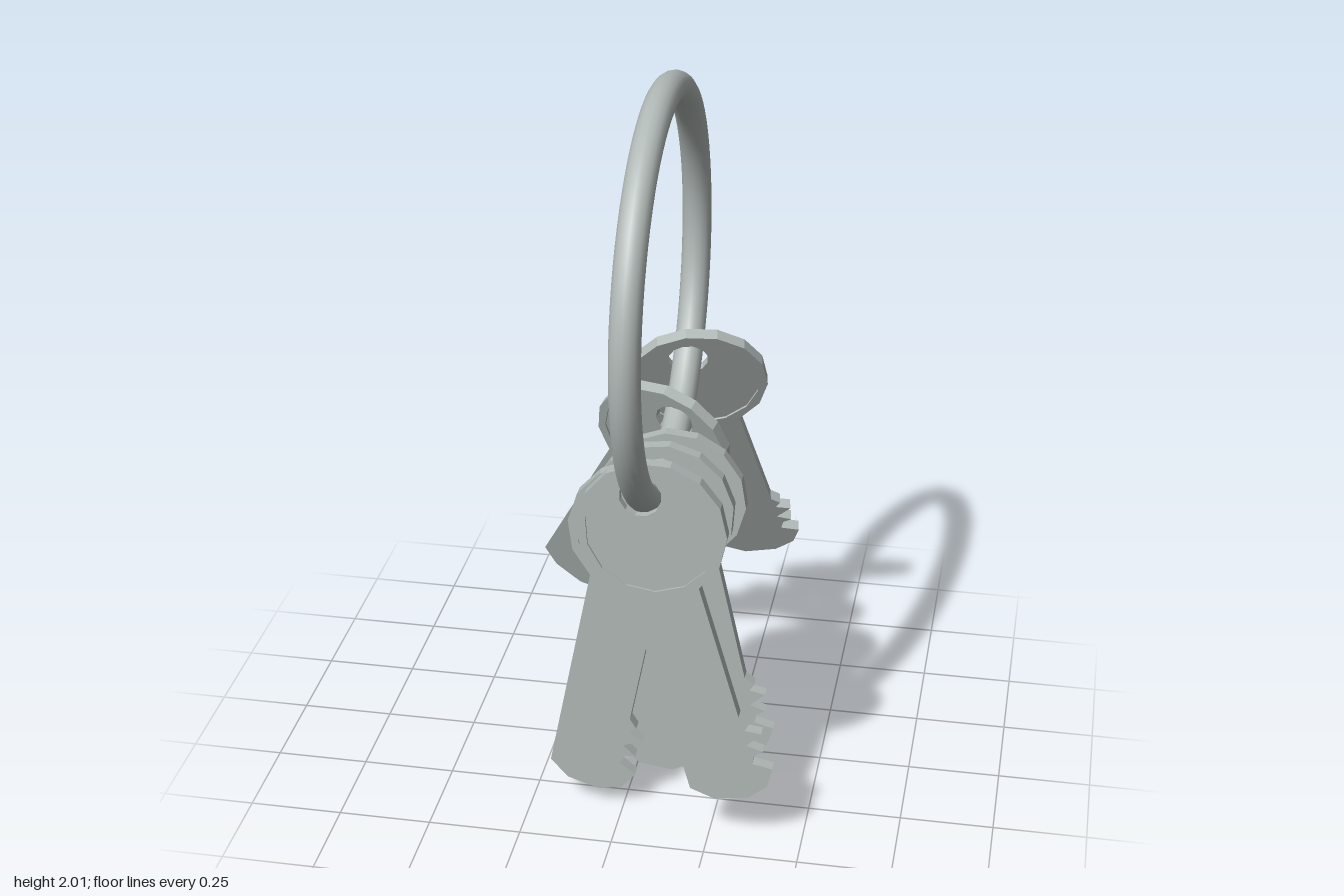
import * as THREE from 'three';

const steel = new THREE.MeshStandardMaterial({ color: 0xb0b8b6 });
steel.name = 'steelGrey';

const HEAD_R = 0.195, RECESS_R = 0.172, HOLE_R = 0.055;
const HOLE_OFFSET = 0.1; // hole centre above the head centre
const THICK = 0.034, PLATE_THICK = 0.022;

// points on an arc, angles in degrees
function arc(r, from, to, n, cy = 0) {
  const pts = [];
  for (let i = 0; i <= n; i++) {
    const a = THREE.MathUtils.degToRad(from + ((to - from) * i) / n);
    pts.push(new THREE.Vector2(r * Math.cos(a), cy + r * Math.sin(a)));
  }
  return pts;
}

function extrude(shape, depth) {
  const g = new THREE.ExtrudeGeometry(shape, { depth, bevelEnabled: false });
  g.translate(0, 0, -depth / 2);
  return g;
}

// key outline: round head, then the blade with its pointed tip and teeth
const blade = [
  [-0.115, -0.76], [-0.06, -0.803], [0.03, -0.815], [0.09, -0.79], [0.118, -0.74],
  [0.07, -0.715], [0.082, -0.69], [0.108, -0.683], [0.07, -0.658],
  [0.118, -0.63], [0.078, -0.612], [0.095, -0.595], [0.073, -0.57],
].map(([x, y]) => new THREE.Vector2(x, y));
const outline = new THREE.Shape([...arc(HEAD_R, -67, 236, 12), ...blade]);
outline.holes.push(new THREE.Path(arc(RECESS_R, 360, 0, 14).slice(0, -1)));
const bodyGeometry = extrude(outline, THICK);

// recessed face of the head, with the hole for the ring
const face = new THREE.Shape(arc(RECESS_R + 0.004, 0, 360, 14).slice(0, -1));
face.holes.push(new THREE.Path(arc(HOLE_R, 360, 0, 12, HOLE_OFFSET).slice(0, -1)));
const faceGeometry = extrude(face, PLATE_THICK);

// a key whose origin is the centre of its hole
function makeKey(name) {
  const key = new THREE.Group();
  key.name = name;
  const body = new THREE.Mesh(bodyGeometry, steel);
  body.name = 'headRimAndBlade';
  const plate = new THREE.Mesh(faceGeometry, steel);
  plate.name = 'headFace';
  for (const m of [body, plate]) {
    m.position.y = -HOLE_OFFSET;
    key.add(m);
  }
  return key;
}

export function createModel() {
  const model = new THREE.Group();
  model.name = 'keyRing';

  // ring, standing in the y-z plane
  const ringX = 0.07, ringY = 1.435, ringZ = 0.115, ringR = 0.525;
  const ring = new THREE.Mesh(new THREE.TorusGeometry(ringR, 0.04, 16, 72), steel);
  ring.name = 'ring';
  ring.rotation.y = Math.PI / 2;
  ring.position.set(ringX, ringY, ringZ);
  model.add(ring);

  // keys hanging upright: [z, swing in degrees]
  [[0.428, 16.5], [0.31, -10.5], [0.115, 0], [0.052, 13]].forEach(([z, swing], i) => {
    const key = makeKey('hangingKey' + (i + 1));
    const y = ringY - Math.sqrt(ringR ** 2 - (z - ringZ) ** 2);
    key.position.set(ringX, y, z);
    key.rotation.z = THREE.MathUtils.degToRad(swing);
    model.add(key);
  });

  // keys tilted back: hole position, blade direction, direction of the lower face
  const tilted = [
    [[0.062, 0.955, -0.132], [-0.41, -0.81, -0.43], [-0.27, -0.34, 0.9]],
    [[0.07, 1.075, -0.28], [0.19, -0.875, -0.444], [0.17, -0.44, 0.88]],
  ];
  tilted.forEach(([hole, along, normal], i) => {
    const key = makeKey('tiltedKey' + (i + 1));
    const up = new THREE.Vector3(...along).negate().normalize();
    const side = new THREE.Vector3().crossVectors(up, new THREE.Vector3(...normal)).normalize();
    const out = new THREE.Vector3().crossVectors(side, up);
    key.quaternion.setFromRotationMatrix(new THREE.Matrix4().makeBasis(side, up, out));
    key.position.set(...hole);
    model.add(key);
  });

  return model;
}
